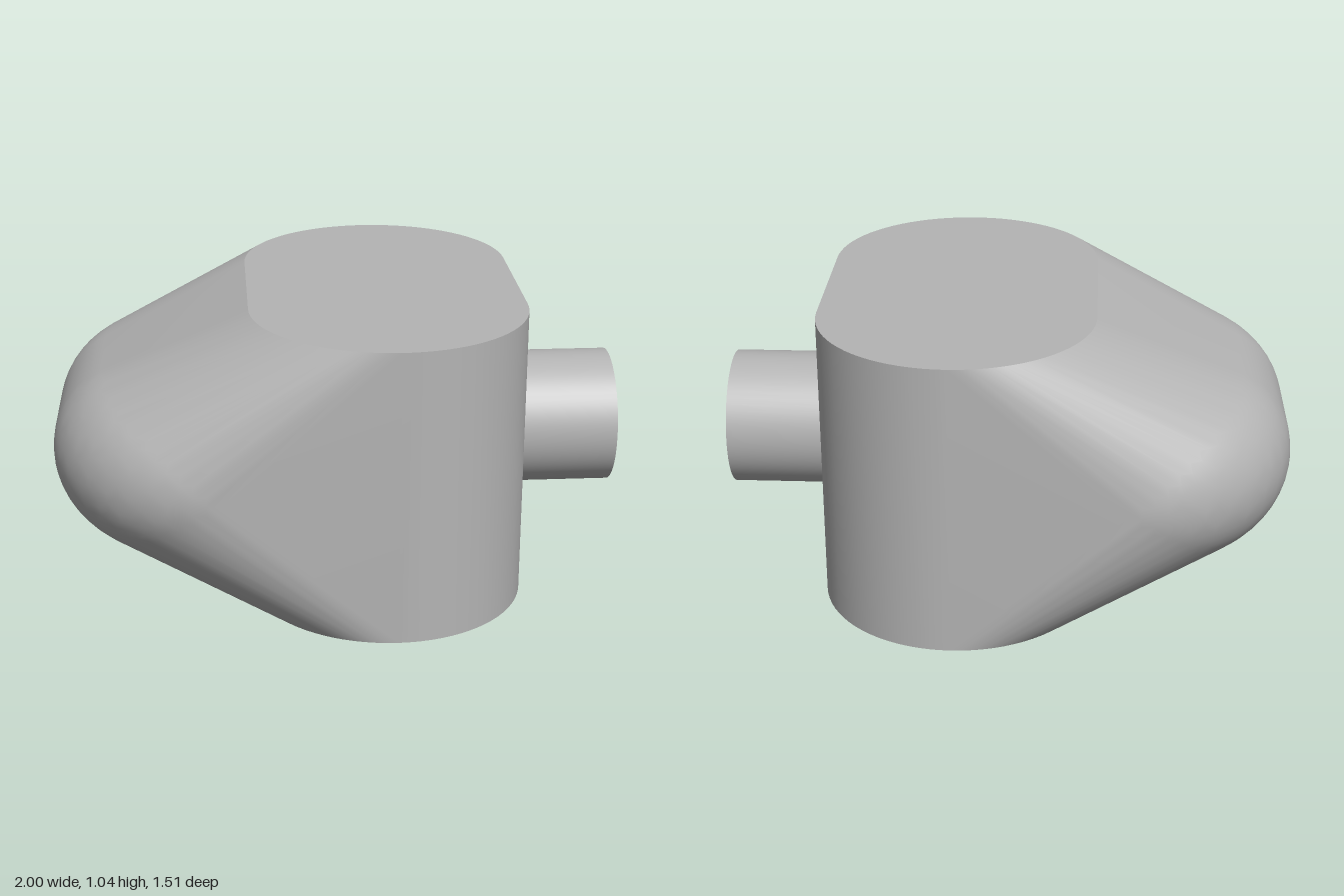
import * as THREE from 'three';
import { ConvexGeometry } from 'three/addons/geometries/ConvexGeometry.js';
import { toCreasedNormals } from 'three/addons/utils/BufferGeometryUtils.js';

const MID = 0.52;          // half height of the body
const HALF_DEPTH = 0.757;  // half extent along z

// Stadium-shaped block blended into a rounded nose as one convex skin
function bodyGeometry() {
  const points = [];
  const add = (x, y, z) => points.push(new THREE.Vector3(x, y, z));

  // Upright stadium block: two half circles joined by straight sides
  const capR = 0.48, capX = 0.17, capZ = HALF_DEPTH - capR, capSteps = 40;
  for (const y of [0, MID * 2]) {
    for (const side of [1, -1]) {
      for (let i = 0; i <= capSteps; i++) {
        const a = Math.PI * i / capSteps;
        add(capX + capR * Math.cos(a), y, side * (capZ + capR * Math.sin(a)));
      }
    }
  }

  // Nose: a round bar swept around both front corners
  const barR = 0.31, sweepR = 0.27, outer = barR + sweepR;
  const noseX = -1 + outer, noseZ = HALF_DEPTH - outer;
  const sweepSteps = 20, barSteps = 28;
  for (const side of [1, -1]) {
    for (let i = 0; i <= sweepSteps; i++) {
      const a = Math.PI / 2 * i / sweepSteps;
      for (let j = 0; j <= barSteps; j++) {
        const b = Math.PI * (j / barSteps - 0.5);
        const r = sweepR + barR * Math.cos(b);
        add(noseX - r * Math.cos(a), MID + barR * Math.sin(b), side * (noseZ + r * Math.sin(a)));
      }
    }
  }
  return toCreasedNormals(new ConvexGeometry(points), 0.35);
}

export function createModel() {
  const grey = new THREE.MeshStandardMaterial({ color: 0xb4b4b4 });
  grey.name = 'grey';
  const group = new THREE.Group();
  group.name = 'noseBlockWithPeg';

  const body = new THREE.Mesh(bodyGeometry(), grey);
  body.name = 'body';
  group.add(body);

  // Round peg on the flat end, slightly sunk into the body
  const start = 0.63, end = 1;
  const peg = new THREE.Mesh(new THREE.CylinderGeometry(0.24, 0.24, end - start, 64), grey);
  peg.name = 'peg';
  peg.rotation.z = -Math.PI / 2;
  peg.position.set((start + end) / 2, MID, 0);
  group.add(peg);

  return group;
}
